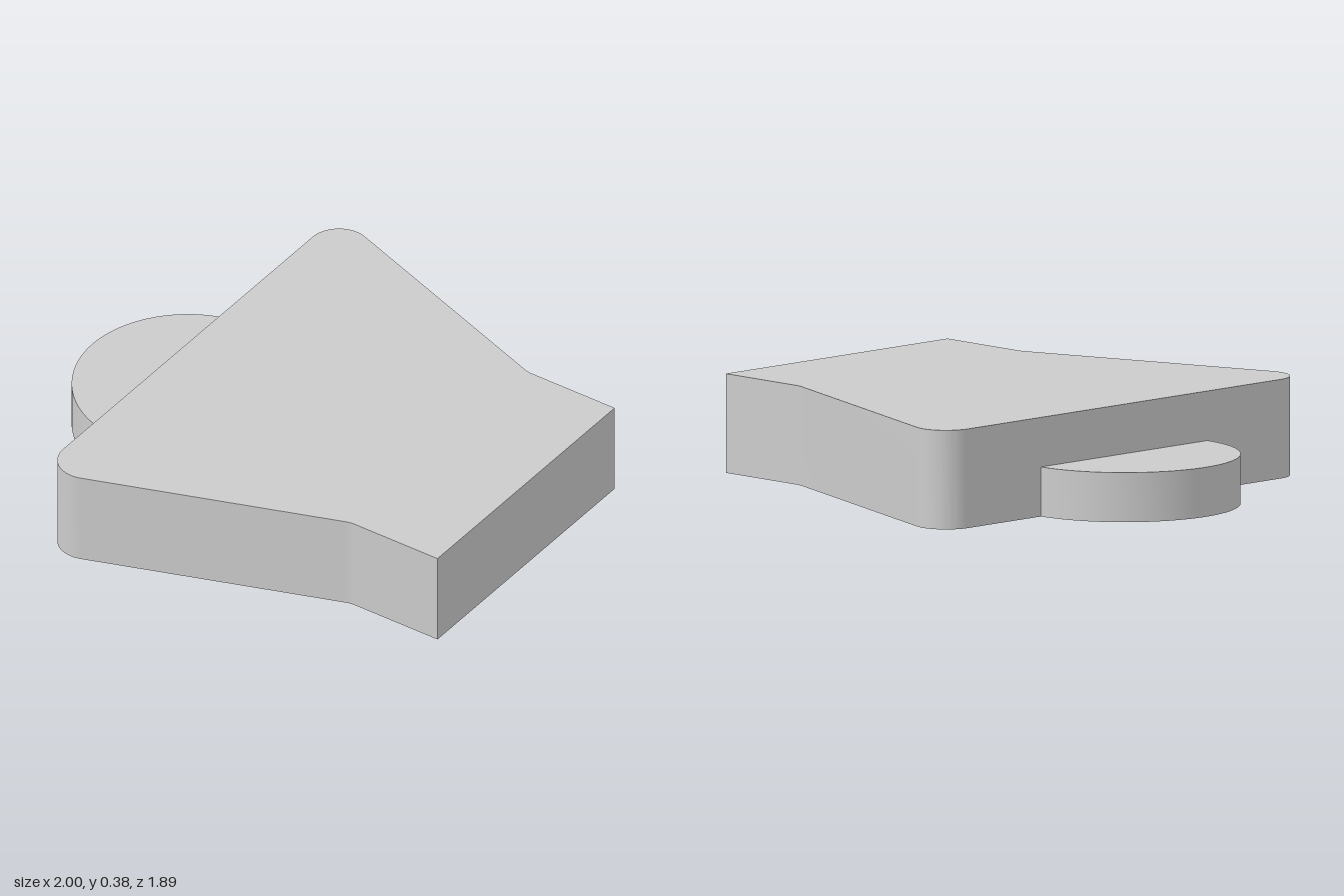
import * as THREE from 'three';
import { toCreasedNormals } from 'three/addons/utils/BufferGeometryUtils.js';

const material = new THREE.MeshStandardMaterial({ color: 0xcccccc });

// Extrudes a plan outline upward from the ground.
function slab(name, shape, height, curveSegments) {
  const geometry = new THREE.ExtrudeGeometry(shape, { depth: height, bevelEnabled: false, curveSegments });
  geometry.rotateX(-Math.PI / 2);
  const mesh = new THREE.Mesh(toCreasedNormals(geometry, Math.PI / 6), material);
  mesh.name = name;
  return mesh;
}

export function createModel() {
  const group = new THREE.Group();
  group.name = 'model';

  const r = 0.12;                  // corner and fillet radius
  const quarter = Math.PI / 2;
  const taper = Math.atan(0.353);  // angle of the slanted sides

  // Tapered body: square neck at +x, filleted flanks, rounded wide corners
  const body = new THREE.Shape();
  body.moveTo(1, -0.585);
  body.lineTo(1, 0.585);
  body.absarc(0.62, 0.585 + r, r, -quarter, -quarter - taper, true);
  body.absarc(-0.44, 0.825, r, quarter - taper, Math.PI, false);
  body.absarc(-0.44, -0.825, r, Math.PI, 3 * quarter + taper, false);
  body.absarc(0.62, -0.585 - r, r, quarter + taper, quarter, true);
  body.closePath();
  group.add(slab('body', body, 0.38, 12));

  // Half-round tab, half as high, against the wide end
  const tab = new THREE.Shape();
  tab.absarc(-0.56, 0, 0.44, quarter, 3 * quarter, false);
  tab.closePath();
  group.add(slab('halfRoundTab', tab, 0.19, 48));

  return group;
}
